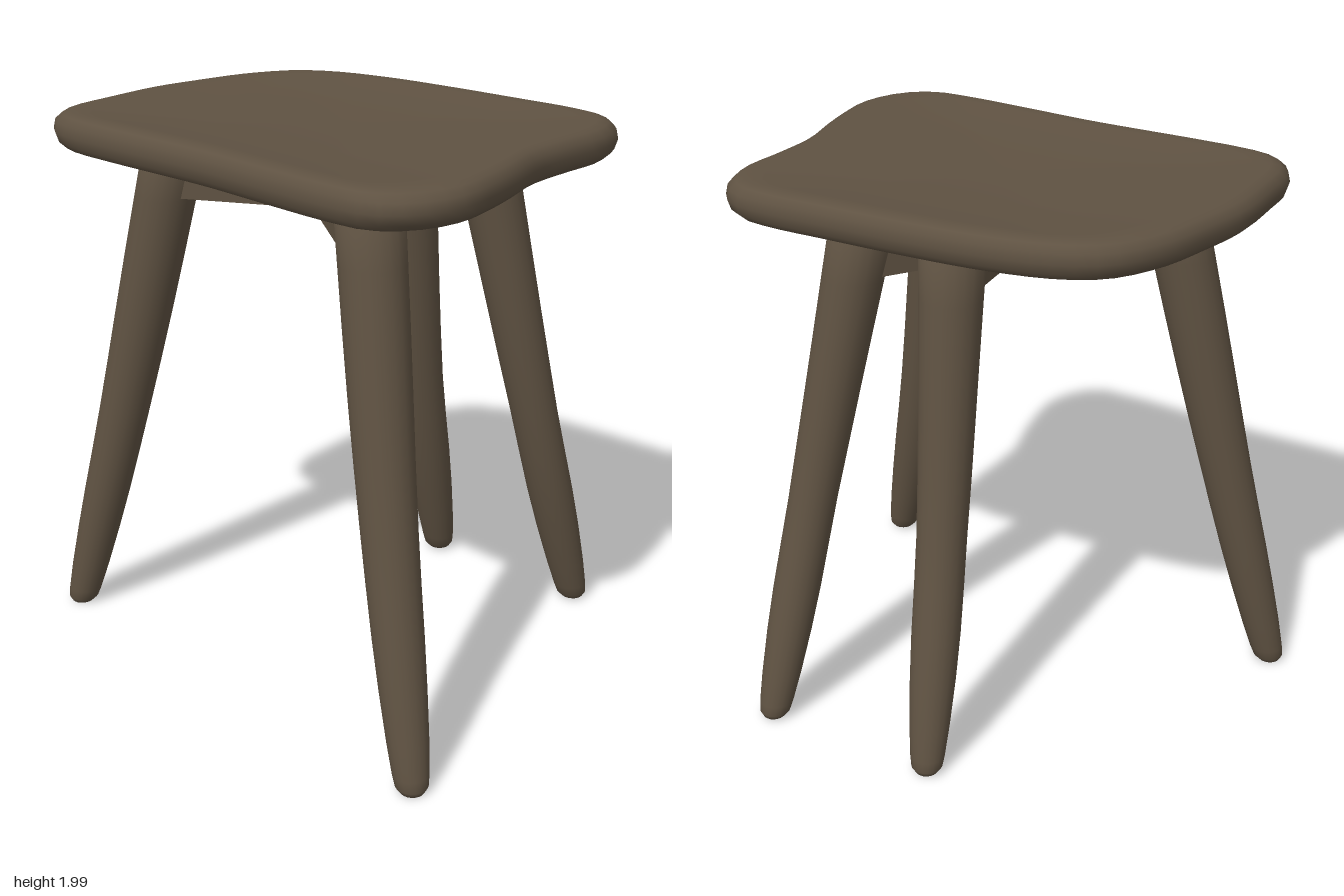
import * as THREE from 'three';

const wood = new THREE.MeshStandardMaterial({ color: 0x5f5242 });
wood.name = 'dark wood';

// Smooth skin through closed sections of equal point count, bottom to top
function loft(sections) {
  const n = sections[0].length;
  const index = [];
  for (let i = 0; i < sections.length - 1; i++) {
    for (let j = 0; j < n; j++) {
      const a = i * n + j, b = i * n + (j + 1) % n;
      index.push(a, b, a + n, b, b + n, a + n);
    }
  }
  const g = new THREE.BufferGeometry();
  g.setAttribute('position', new THREE.Float32BufferAttribute(sections.flat(2), 3));
  g.setIndex(index);
  g.computeVertexNormals();
  return g;
}

function part(name, geometry) {
  const m = new THREE.Mesh(geometry, wood);
  m.name = name;
  return m;
}

// Uneven rounded seat with a soft rim and a shallow dish
function seat() {
  const outline = [
    [-0.86, 0.42], [-0.84, 0.6], [-0.78, 0.7], [-0.68, 0.74], [-0.5, 0.75], [0, 0.75], [0.3, 0.77],
    [0.6, 0.785], [0.76, 0.77], [0.86, 0.68], [0.91, 0.52], [0.89, 0.35], [0.85, 0.18], [0.8, 0],
    [0.79, -0.2], [0.79, -0.38], [0.75, -0.5], [0.67, -0.57], [0.55, -0.59], [0.3, -0.585], [0, -0.575],
    [-0.3, -0.55], [-0.55, -0.49], [-0.69, -0.4], [-0.79, -0.22], [-0.84, 0], [-0.87, 0.2],
  ];
  const curve = new THREE.CatmullRomCurve3(outline.map(([x, z]) => new THREE.Vector3(x, 0, z)), true);
  const rim = curve.getSpacedPoints(80).slice(0, 80);
  const cz = 0.09;
  const profile = [ // outline scale, height
    [0.001, 1.89], [0.5, 1.888], [0.85, 1.88], [0.92, 1.87], [0.96, 1.873], [0.988, 1.895], [1, 1.93],
    [0.992, 1.965], [0.965, 1.988], [0.93, 1.997], [0.86, 1.995], [0.7, 1.983], [0.45, 1.973], [0.001, 1.968],
  ];
  return loft(profile.map(([s, y]) => rim.map((p) => [p.x * s, y, cz + (p.z - cz) * s])));
}

// Tapered, slightly bowed leg with a rounded foot
function leg({ top, mid, foot, radii }) {
  const path = new THREE.CatmullRomCurve3([foot, mid, top].map((p) => new THREE.Vector3(...p)));
  const bands = [0.001, 0.65, 0.9, 1].map((k, i) => [[0, 0, 0.012, 0.035][i], k * radii[0]]);
  for (let i = 1; i <= 10; i++) {
    const t = i / 10, f = t * (radii.length - 1);
    const k = Math.min(Math.floor(f), radii.length - 2);
    bands.push([t, THREE.MathUtils.lerp(radii[k], radii[k + 1], f - k)]);
  }
  bands.push([1, 0.001]);
  return loft(bands.map(([t, r]) => {
    const c = path.getPoint(t);
    return Array.from({ length: 20 }, (_, j) => {
      const a = (j / 20) * Math.PI * 2;
      return [c.x + r * Math.cos(a), c.y, c.z - r * Math.sin(a)];
    });
  }));
}

// Upright rail running from the hub to the top of a leg
function rail(hub, end) {
  const dx = end[0] - hub[0], dz = end[2] - hub[1];
  const len = Math.hypot(dx, dz);
  const g = new THREE.BoxGeometry(len, 0.2, 0.15);
  g.rotateY(-Math.atan2(dz, dx));
  g.translate(hub[0] + dx / 2, 1.79, hub[1] + dz / 2);
  return g;
}

export function createModel() {
  const group = new THREE.Group();
  group.name = 'stool';
  group.add(part('seat', seat()));

  const front = [0.062, 0.085, 0.095, 0.108, 0.115];
  const back = [0.062, 0.086, 0.088, 0.1, 0.115];
  const legs = {
    frontLeftLeg: { top: [0.5, 1.89, 0.49], mid: [0.7, 0.85, 0.61], foot: [0.905, 0.01, 0.72], radii: front },
    frontRightLeg: { top: [-0.5, 1.89, 0.38], mid: [-0.72, 0.85, 0.49], foot: [-0.91, 0.01, 0.595], radii: front },
    backLeftLeg: { top: [0.29, 1.89, -0.34], mid: [0.435, 0.85, -0.51], foot: [0.5, 0.015, -0.725], radii: back },
    backRightLeg: { top: [-0.06, 1.89, -0.33], mid: [-0.11, 0.85, -0.5], foot: [-0.17, 0.015, -0.71], radii: back },
  };
  const hub = [0, 0.12];
  for (const [name, spec] of Object.entries(legs)) {
    group.add(part(name, leg(spec)));
    group.add(part(name.replace('Leg', 'Rail'), rail(hub, spec.top)));
  }

  // Block where the four rails meet
  const block = new THREE.CylinderGeometry(0.1, 0.085, 0.2, 16);
  block.translate(hub[0], 1.79, hub[1]);
  group.add(part('railHub', block));
  return group;
}
